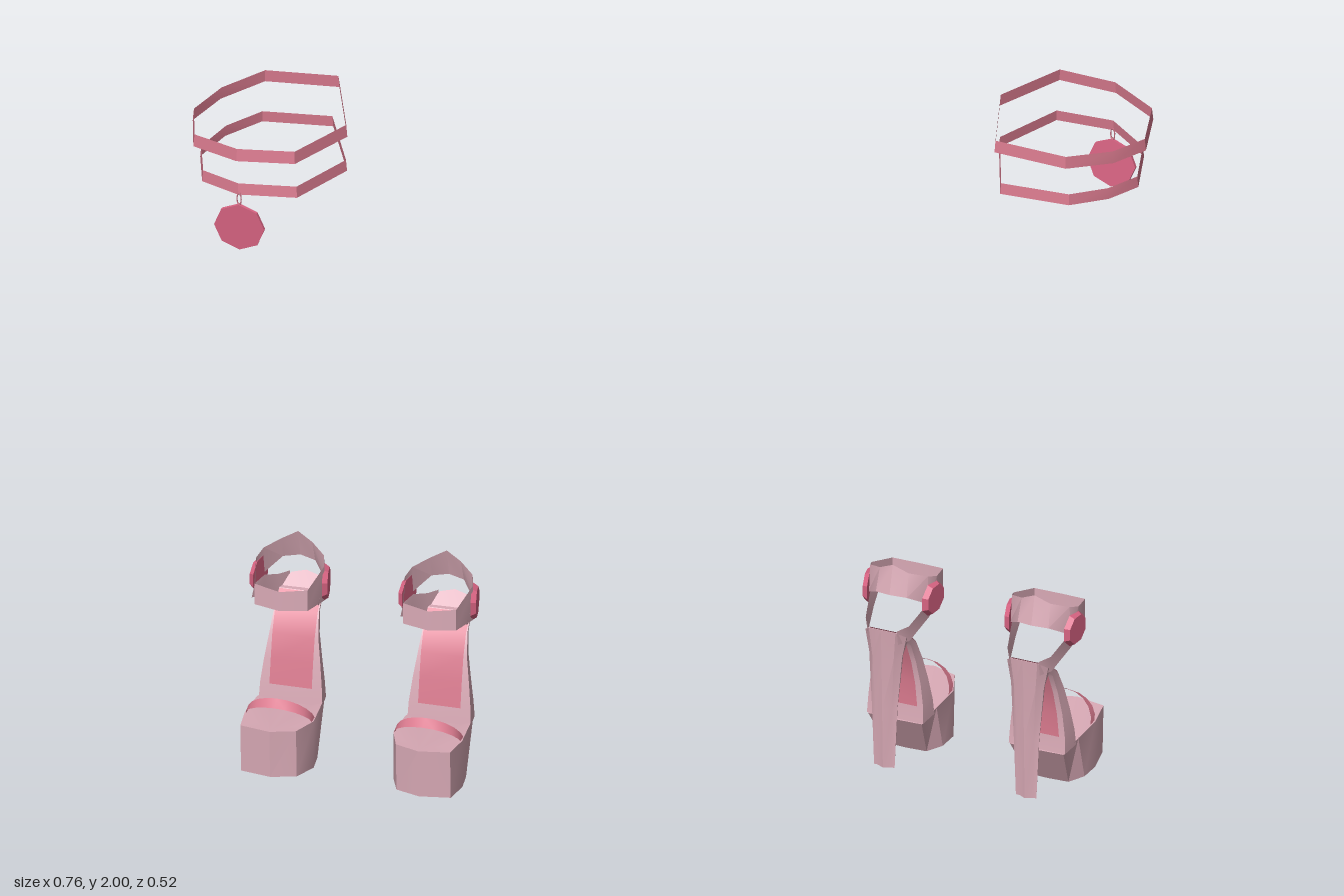
import * as THREE from 'three';
import { toCreasedNormals } from 'three/addons/utils/BufferGeometryUtils.js';

const mat = (name, color) => new THREE.MeshStandardMaterial({ name, color, side: THREE.DoubleSide });

// Joins equal rings of points into a skin; rings run counterclockwise seen from above.
function loft(rings, { closed = true, caps = true } = {}) {
  const n = rings[0].length, pos = rings.flat(2), idx = [];
  for (let r = 0; r + 1 < rings.length; r++)
    for (let i = 0; i < (closed ? n : n - 1); i++) {
      const j = (i + 1) % n, a = r * n + i, b = r * n + j;
      idx.push(a, b, b + n, a, b + n, a + n);
    }
  if (caps) {
    const t = (rings.length - 1) * n;
    for (let i = 1; i + 1 < n; i++) idx.push(0, i + 1, i, t, t + i, t + i + 1);
  }
  const g = new THREE.BufferGeometry();
  g.setAttribute('position', new THREE.Float32BufferAttribute(pos, 3));
  g.setIndex(idx);
  return toCreasedNormals(g, 0.5);
}

// Thin strip between a lower and an upper edge.
const ribbon = (low, high, closed = false) => loft([low, high], { closed, caps: false });

// Mirrors a half outline that starts and ends on the centre line.
const mirrorRing = (half) => [...half, ...half.slice(1, -1).reverse().map(([x, y, z]) => [-x, y, z])];

function add(parent, name, geometry, material) {
  const m = new THREE.Mesh(geometry, material);
  m.name = name;
  parent.add(m);
  return m;
}

// Arch rows: height, front z, back z, half width
const ARCH = [
  [0.13, -0.1, -0.163, 0.088], [0.18, -0.107, -0.158, 0.086], [0.25, -0.12, -0.158, 0.078],
  [0.32, -0.136, -0.167, 0.068], [0.38, -0.163, -0.188, 0.062], [0.42, -0.205, -0.222, 0.06],
];

function shoe(side, m) {
  const g = new THREE.Group();
  g.name = side > 0 ? 'leftShoe' : 'rightShoe';

  // Platform with a squarer outer toe corner
  const outline = (k, y, back, backW, backY) => {
    const ring = mirrorRing([[0, y, 0.108 * k], [0.085, y, 0.092 * k], [0.096, y - 0.004, 0.01],
      [0.09, y - 0.004, back * 0.55], [backW, backY, back], [0, backY, back - 0.003]]);
    const inner = side > 0 ? ring[ring.length - 1] : ring[1];
    inner[0] *= 0.8;
    inner[2] *= 0.92;
    return ring;
  };
  add(g, 'platform', loft([outline(0.93, 0.008, -0.088, 0.06, 0.001), outline(1, 0.148, -0.163, 0.078, 0.128)]), m.shoe);

  // Arch rising to the heel seat, with inset panels front and back
  add(g, 'arch', loft(ARCH.map(([y, f, b, w]) =>
    mirrorRing([[0, y, f], [w, y, f], [w * 0.93, y, b], [0, y, b]]))), m.shoe);
  const panel = (rows, z, w) => ribbon(rows.map((r) => [-w(r), r[0], z(r)]), rows.map((r) => [w(r), r[0], z(r)]));
  add(g, 'insolePanel', panel(ARCH.slice(1), (r) => r[1] + 0.004, () => 0.059), m.accent);
  add(g, 'archBackPanel', panel(ARCH.slice(1, 5), (r) => r[2] - 0.004, (r) => r[3] * 0.75), m.accent);

  // Heel column: height, front z, back z, half width
  const heelRows = [[0.02, -0.228, -0.245, 0.03], [0.2, -0.222, -0.25, 0.037],
    [0.36, -0.207, -0.254, 0.048], [0.425, -0.2, -0.26, 0.06]];
  add(g, 'heel', loft(heelRows.map(([y, f, b, w], i) => {
    const lift = i === 3 ? 0.022 : 0;
    return mirrorRing([[0, y - lift, f], [w * 0.9, y - lift, f], [w, y, f * 0.6 + b * 0.4],
      [w * 0.65, y + lift, b + 0.01], [0, y + lift * 1.3, b]]);
  })), m.shoe);

  // Side straps joining the ankle strap to the heel
  for (const s of [1, -1]) {
    add(g, 'sideStrap', ribbon(
      [[s * 0.092, 0.465, -0.045], [s * 0.08, 0.437, -0.12], [s * 0.061, 0.405, -0.205], [s * 0.045, 0.41, -0.247]],
      [[s * 0.093, 0.49, -0.08], [s * 0.083, 0.487, -0.14], [s * 0.063, 0.455, -0.215], [s * 0.042, 0.452, -0.248]]), m.shoe);
  }

  // Ankle strap, peaked at the back
  add(g, 'ankleStrap', ribbon(
    mirrorRing([[0, 0.462, 0.006], [0.074, 0.466, -0.008], [0.096, 0.457, -0.095],
      [0.088, 0.49, -0.14], [0.045, 0.525, -0.188], [0, 0.53, -0.2]]),
    mirrorRing([[0, 0.52, 0.006], [0.074, 0.528, -0.008], [0.095, 0.558, -0.1],
      [0.084, 0.572, -0.135], [0.042, 0.59, -0.168], [0, 0.612, -0.178]]), true), m.shoe);

  // Eight-sided ornaments on both sides of the ankle
  for (const s of [1, -1]) {
    const disc = new THREE.CylinderGeometry(0.042, 0.051, 0.014, 8);
    disc.rotateY(Math.PI / 8).rotateZ(-Math.PI / 2);
    if (s < 0) disc.rotateY(Math.PI);
    const o = add(g, 'ankleOrnament', toCreasedNormals(disc, 0.5), m.ornament);
    o.position.set(s * 0.095, 0.5, -0.12);
    o.rotation.y = s * 0.16;
  }

  // Toe strap arching over the platform
  const front = [], back = [];
  for (let i = 0; i <= 10; i++) {
    const a = (i / 10) * Math.PI, x = 0.093 * Math.cos(a), s = Math.sin(a);
    front.push([x, 0.14 + 0.055 * s, 0.01 + 0.05 * s]);
    back.push([x, 0.14 + 0.072 * s, -0.016 + 0.05 * s]);
  }
  add(g, 'toeStrap', ribbon(front, back), m.accent);

  g.position.x = side > 0 ? 0.273 : -0.141;
  return g;
}

// Faceted neck band: x, lower y, z of each corner
function band(points, height) {
  const lean = points.map(([x, y, z]) => [-0.155 + (x + 0.155) * 0.985, y + height, z * 0.985]);
  return ribbon(points, lean, true);
}

export function createModel() {
  const m = {
    shoe: mat('dusty pink', 0xd9aab6),
    accent: mat('rose', 0xd97a8e),
    ornament: mat('deep rose', 0xd96483),
  };
  const root = new THREE.Group();
  root.name = 'shoesAndNecklace';
  root.add(shoe(1, m), shoe(-1, m));

  // Necklace bands
  const necklace = new THREE.Group();
  necklace.name = 'necklace';
  root.add(necklace);
  add(necklace, 'upperBand', band([[-0.19, 1.946, 0.26], [-0.03, 1.955, 0.25], [0.063, 1.955, 0.06], [-0.03, 1.965, -0.192],
    [-0.235, 1.957, -0.185], [-0.33, 1.942, -0.083], [-0.375, 1.93, 0.034], [-0.33, 1.935, 0.188]], 0.035), m.accent);
  add(necklace, 'lowerBand', band([[-0.19, 1.838, 0.246], [-0.03, 1.842, 0.229], [0.056, 1.84, 0.038], [-0.048, 1.842, -0.195],
    [-0.24, 1.84, -0.175], [-0.318, 1.83, -0.085], [-0.357, 1.818, 0.024], [-0.31, 1.824, 0.172]], 0.032), m.accent);

  // Pendant with its small link
  const disc = new THREE.CylinderGeometry(0.07, 0.07, 0.009, 8).rotateX(Math.PI / 2);
  const pendant = add(necklace, 'pendant', toCreasedNormals(disc, 0.5), m.ornament);
  pendant.position.set(-0.186, 1.74, 0.242);
  pendant.rotation.x = 0.07;
  const link = add(necklace, 'pendantLink', new THREE.TorusGeometry(0.012, 0.003, 5, 10), m.accent);
  link.scale.set(0.5, 1.5, 1);
  link.position.set(-0.186, 1.826, 0.247);
  return root;
}
